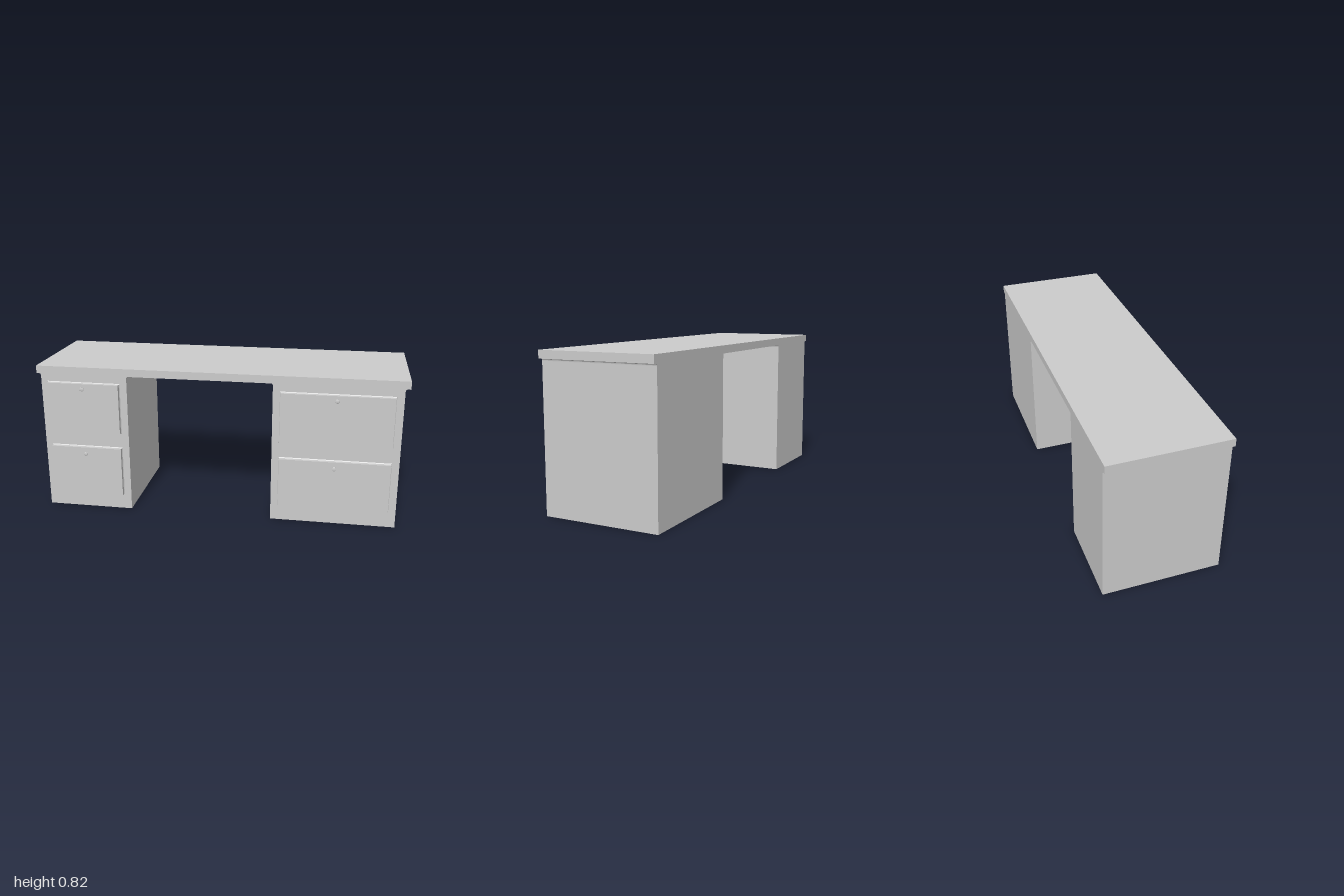
import * as THREE from 'three';

const mat = new THREE.MeshStandardMaterial({ color: 0xcccccc });
const FRONT = 0.298, BACK = -0.335, DEPTH = FRONT - BACK;
const TOP = 0.818, UNDER = 0.776, FILLET = 0.012;

function add(parent, geometry, name, x = 0, y = 0, z = 0) {
  const mesh = new THREE.Mesh(geometry, mat);
  mesh.name = name;
  mesh.position.set(x, y, z);
  parent.add(mesh);
  return mesh;
}

// Front outline of top and both pedestals, with small coves under the top
function bodyGeometry(left, right) {
  const s = new THREE.Shape();
  const r = FILLET;
  s.moveTo(-1, TOP);
  s.lineTo(-1, UNDER);
  [left, right].forEach(([a, b]) => {
    s.lineTo(a - r, UNDER);
    s.quadraticCurveTo(a, UNDER, a, UNDER - r);
    s.lineTo(a, 0);
    s.lineTo(b, 0);
    s.lineTo(b, UNDER - r);
    s.quadraticCurveTo(b, UNDER, b + r, UNDER);
  });
  s.lineTo(1, UNDER);
  s.lineTo(1, TOP);
  s.closePath();
  return new THREE.ExtrudeGeometry(s, { depth: DEPTH, bevelEnabled: false, curveSegments: 6 });
}

// Box whose back face is wider than its front by a margin on every side
function flaredBox(w, h, d, margin) {
  const g = new THREE.BoxGeometry(w, h, d);
  const p = g.attributes.position;
  for (let i = 0; i < p.count; i++) {
    if (p.getZ(i) < 0) {
      p.setX(i, p.getX(i) + Math.sign(p.getX(i)) * margin);
      p.setY(i, p.getY(i) + Math.sign(p.getY(i)) * margin);
    }
  }
  g.computeVertexNormals();
  return g;
}

// Round knob, turned about its axis and pointing forward
function knobGeometry() {
  const profile = [[0.009, 0], [0.0065, 0.003], [0.0065, 0.005], [0.0115, 0.007],
    [0.0115, 0.0105], [0.0095, 0.0125], [0, 0.013]].map(([r, y]) => new THREE.Vector2(r, y));
  return new THREE.LatheGeometry(profile, 20).rotateX(Math.PI / 2);
}

function drawer(x0, x1, y0, y1) {
  const g = new THREE.Group();
  g.name = 'drawer';
  const w = x1 - x0, h = y1 - y0, d = 0.024, base = 0.004;
  g.position.set((x0 + x1) / 2, (y0 + y1) / 2, FRONT);
  add(g, new THREE.BoxGeometry(w, h, d), 'drawerFront', 0, 0, d / 2);
  add(g, flaredBox(w, h, base, 0.004), 'drawerBaseTrim', 0, 0, base / 2);
  add(g, knobGeometry(), 'knob', 0, h / 2 - 0.025 - 0.01, d).position.y = h / 2 - 0.026;
  return g;
}

export function createModel() {
  const desk = new THREE.Group();
  desk.name = 'desk';

  add(desk, bodyGeometry([-0.975, -0.493], [0.298, 0.973]), 'deskBody', 0, 0, BACK);

  // Two drawers on each pedestal
  for (const [x0, x1] of [[-0.935, -0.535], [0.34, 0.93]]) {
    for (const [y0, y1] of [[0.089, 0.365], [0.454, 0.731]]) {
      const d = drawer(x0, x1, y0, y1);
      if (y0 < 0.2) d.getObjectByName('knob').position.y = 0.33 - (y0 + y1) / 2;
      desk.add(d);
    }
  }
  return desk;
}
